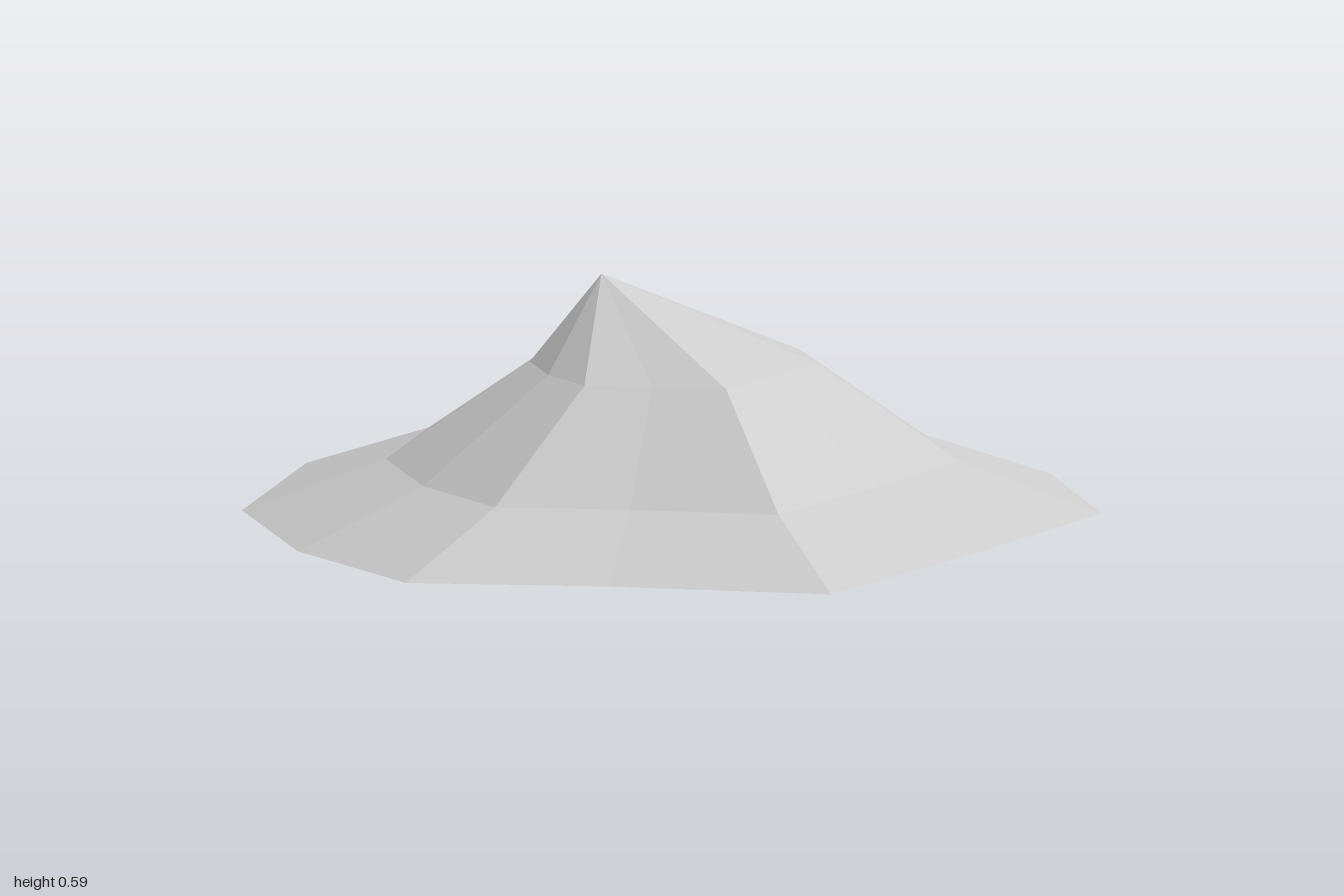
import * as THREE from 'three';

// Foot outline (x, z), running from the front corner towards +x
const outline = [
  [0, 0.885], [0.5, 0.63], [0.945, 0.38], [1, -0.055], [0.9, -0.475], [0.56, -0.83],
  [0, -0.765], [-0.605, -0.89], [-0.95, -0.5], [-1, -0.055], [-0.895, 0.355], [-0.46, 0.59],
];
const centreZ = -0.055;
const peak = [-0.15, 0.59, -0.15];

// Contours: the outline shrunk about its centre at rising heights
const contours = [[1, 0], [2 / 3, 0.13], [1 / 3, 0.375]].map(([scale, y]) =>
  outline.map(([x, z]) => [x * scale, y, centreZ + (z - centreZ) * scale]));

function facets(triangles) {
  const geometry = new THREE.BufferGeometry();
  geometry.setAttribute('position', new THREE.Float32BufferAttribute(triangles.flat(2), 3));
  geometry.computeVertexNormals();
  return geometry;
}

export function createModel() {
  const stone = new THREE.MeshStandardMaterial({ color: 0xcccccc, flatShading: true });
  stone.name = 'pale grey stone';
  const model = new THREE.Group();
  model.name = 'mountain';
  const add = (name, triangles) => {
    const mesh = new THREE.Mesh(facets(triangles), stone);
    mesh.name = name;
    model.add(mesh);
  };

  // Sloping bands between neighbouring contours
  ['footSlope', 'middleSlope'].forEach((name, k) => {
    const [low, high] = [contours[k], contours[k + 1]];
    add(name, low.flatMap((a, i) => {
      const j = (i + 1) % low.length;
      return [[a, low[j], high[j]], [a, high[j], high[i]]];
    }));
  });

  // Off-centre summit and flat underside
  const top = contours[2], foot = contours[0];
  add('summit', top.map((a, i) => [a, top[(i + 1) % top.length], peak]));
  add('underside', foot.map((a, i) => [foot[(i + 1) % foot.length], a, [0, 0, centreZ]]));

  return model;
}
